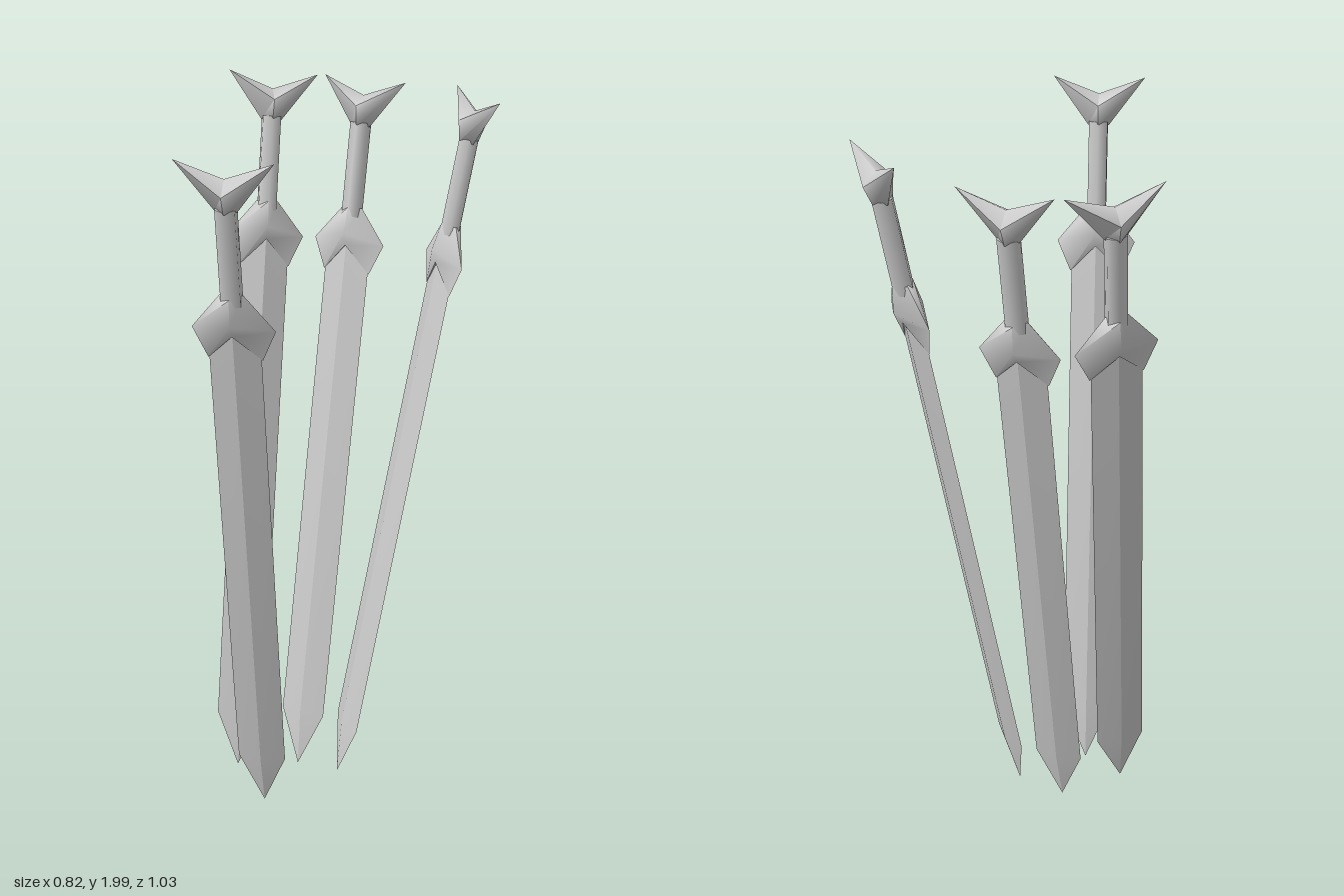
import * as THREE from 'three';
import { toCreasedNormals } from 'three/addons/utils/BufferGeometryUtils.js';

const material = new THREE.MeshStandardMaterial({ color: 0xcccccc });

// Lofts four-cornered sections, listed from bottom to top.
// Each section is [half width, height of side corners, half depth, height of front and back corners].
function loft(sections, creaseAngle) {
  const positions = [];
  const rings = sections.map(([w, yw, d, yd]) => [
    new THREE.Vector3(w, yw, 0), new THREE.Vector3(0, yd, d),
    new THREE.Vector3(-w, yw, 0), new THREE.Vector3(0, yd, -d),
  ]);
  const triangle = (a, b, c) => {
    if (new THREE.Triangle(a, b, c).getArea() < 1e-8) return;
    for (const p of [a, b, c]) positions.push(p.x, p.y, p.z);
  };
  for (let r = 0; r < rings.length - 1; r++) {
    for (let i = 0; i < 4; i++) {
      const j = (i + 1) % 4;
      const low = rings[r], high = rings[r + 1];
      triangle(low[j], low[i], high[i]);
      triangle(low[j], high[i], high[j]);
    }
  }
  const geometry = new THREE.BufferGeometry();
  geometry.setAttribute('position', new THREE.Float32BufferAttribute(positions, 3));
  return toCreasedNormals(geometry, creaseAngle);
}

// Diamond-section blade with a pointed tip at the origin
const bladeGeometry = loft([
  [0, 0, 0, 0],
  [0.067, 0.16, 0.018, 0.16],
  [0.067, 1.49, 0.018, 1.56],
  [0, 1.57, 0, 1.57],
], 0.2);

// Winged guard, notched underneath where the blade enters
const guardGeometry = loft([
  [0, 1.545, 0, 1.545],
  [0.07, 1.465, 0.024, 1.54],
  [0.107, 1.55, 0.042, 1.575],
  [0.03, 1.645, 0.03, 1.645],
  [0, 1.645, 0, 1.645],
], 1.2);

const gripGeometry = new THREE.CylinderGeometry(0.029, 0.029, 0.26, 6).translate(0, 1.75, 0);

// V-shaped pommel with two swept-up points
const pommelGeometry = loft([
  [0, 1.865, 0, 1.865],
  [0.028, 1.87, 0.028, 1.87],
  [0.124, 2.0, 0.042, 1.925],
  [0, 1.955, 0, 1.955],
], 1.2);

// Sword running from its tip to the middle of its pommel; across is its width direction
function createSword(name, tip, top, across) {
  const sword = new THREE.Group();
  sword.name = name;
  const parts = { blade: bladeGeometry, guard: guardGeometry, grip: gripGeometry, pommel: pommelGeometry };
  for (const [part, geometry] of Object.entries(parts)) {
    const mesh = new THREE.Mesh(geometry, material);
    mesh.name = part;
    sword.add(mesh);
  }
  const origin = new THREE.Vector3(...tip);
  const up = new THREE.Vector3(...top).sub(origin).normalize();
  const side = new THREE.Vector3(...across);
  side.addScaledVector(up, -side.dot(up)).normalize();
  const front = new THREE.Vector3().crossVectors(side, up);
  sword.quaternion.setFromRotationMatrix(new THREE.Matrix4().makeBasis(side, up, front));
  sword.position.copy(origin);
  return sword;
}

export function createModel() {
  const model = new THREE.Group();
  model.name = 'swords';
  model.add(
    createSword('frontSword', [-0.065, 0.005, 0.11], [0.045, 1.97, 0.48], [0.24, 0, -0.07]),
    createSword('backSword', [-0.07, 0.015, -0.1], [-0.07, 1.98, -0.495], [1, 0, 0]),
    createSword('rightSword', [-0.205, 0.035, 0.02], [-0.312, 1.99, -0.412], [0.195, -0.02, -0.145]),
    createSword('leftSword', [0.065, 0.03, -0.09], [0.315, 1.985, -0.388], [0.19, 0, 0.155]),
  );
  return model;
}
